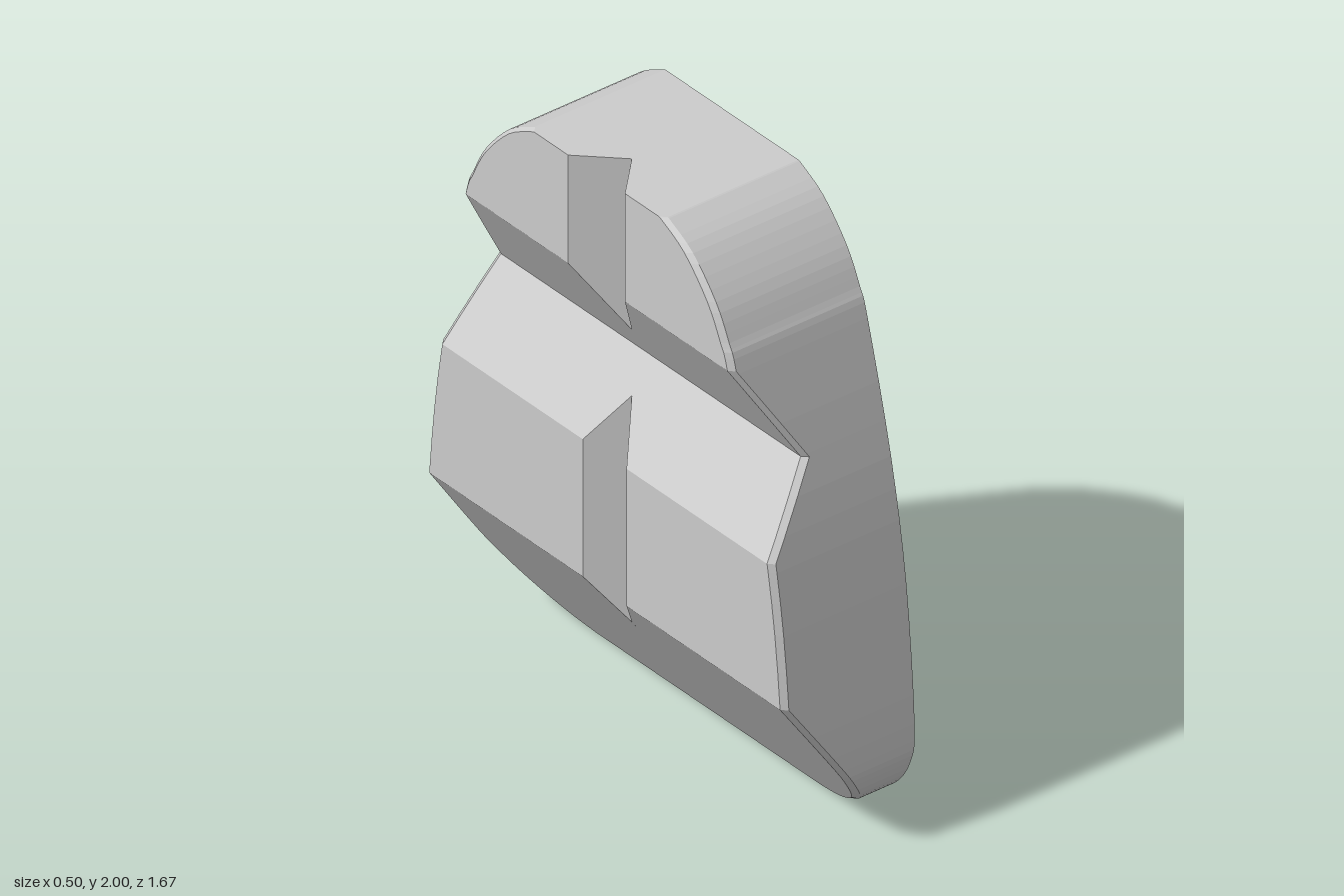
import * as THREE from 'three';

const BACK = 0.25;
// half-width of the plate (w, y), from bottom to top
const outline = new THREE.SplineCurve([
  [0.535, 0], [0.64, 0.025], [0.75, 0.095], [0.817, 0.2], [0.835, 0.34], [0.797, 0.8], [0.727, 1.2],
  [0.62, 1.62], [0.585, 1.71], [0.525, 1.82], [0.42, 1.935], [0.32, 1.993], [0.3, 2],
].map(([w, y]) => new THREE.Vector2(w, y))).getPoints(48);
// depth of the carved side (y, x): bottom slope, lower lobe, valley, upper lobe
const profile = [[0, 0.165], [0.56, -0.22], [1.03, -0.22], [1.3, -0.05], [1.63, -0.25], [2, -0.25]];
const GROOVE = -0.12;

function lerpTable(table, t) {
  let i = 1;
  while (i < table.length - 1 && table[i][0] < t) i++;
  const [t0, v0] = table[i - 1], [t1, v1] = table[i];
  return v0 + (v1 - v0) * THREE.MathUtils.clamp((t - t0) / (t1 - t0), 0, 1);
}
const widths = outline.map((p) => [p.y, p.x]);

// cross-section at height y as [x, z] pairs: wall, lobe with V groove, wall
function section(y) {
  const w = lerpTable(widths, y), p = lerpTable(profile, y);
  const g = Math.max(0, GROOVE - p), c = 0.018;
  return [[BACK, -w], [p + c, -w], [p, -w + c], [p, -g], [p + g, 0], [p, g], [p, w - c], [p + c, w], [BACK, w]];
}

function flat(geometry) {
  const g = geometry.index ? geometry.toNonIndexed() : geometry;
  g.computeVertexNormals();
  return g;
}

// carved front and side walls lofted through the cross-sections
function bodyGeometry() {
  const breaks = [0.415, 0.56, 1.03, 1.189, 1.3, 1.4155, 1.63];
  const ys = [...outline.map((p) => p.y), ...breaks].sort((a, b) => a - b);
  const rows = ys.map((y) => section(y).map(([x, z]) => [x, y, z]));
  const pos = [];
  for (let i = 0; i < rows.length - 1; i++) {
    for (let j = 0; j < rows[i].length - 1; j++) {
      const a = rows[i][j], b = rows[i][j + 1], c = rows[i + 1][j + 1], d = rows[i + 1][j];
      pos.push(...a, ...b, ...c, ...a, ...c, ...d);
    }
  }
  const g = new THREE.BufferGeometry();
  g.setAttribute('position', new THREE.Float32BufferAttribute(pos, 3));
  return flat(g);
}

function capGeometry(y, up) {
  const pts = section(y).map(([x, z]) => new THREE.Vector2(x, up ? -z : z));
  return flat(new THREE.ShapeGeometry(new THREE.Shape(pts)).rotateX(up ? -Math.PI / 2 : Math.PI / 2).translate(0, y, 0));
}

export function createModel() {
  const group = new THREE.Group();
  const grey = new THREE.MeshStandardMaterial({ color: 0xcccccc, side: THREE.DoubleSide });
  grey.name = 'light grey';
  const add = (name, geometry) => {
    const mesh = new THREE.Mesh(geometry, grey);
    mesh.name = name;
    group.add(mesh);
    return mesh;
  };

  add('carvedBody', bodyGeometry());
  add('topFace', capGeometry(2, true));
  add('bottomFace', capGeometry(0, false));

  // flat mounting face with three bolt holes
  const mirrored = outline.map((p) => new THREE.Vector2(-p.x, p.y)).reverse();
  const face = new THREE.Shape([...outline, ...mirrored]);
  const holes = [[0, 1.417], [0.23, 0.768], [-0.23, 0.768]];
  const R = 0.067, DEPTH = 0.2;
  for (const [z, y] of holes) {
    face.holes.push(new THREE.Path().absarc(-z, y, R, 0, Math.PI * 2, true));
    // blind hole: wall and floor
    const cup = [[0, 0], [R, 0], [R, DEPTH]].map(([r, h]) => new THREE.Vector2(r, h));
    const hole = add('boltHole', flat(new THREE.LatheGeometry(cup, 24).rotateZ(-Math.PI / 2)));
    hole.position.set(BACK - DEPTH, y, z);
  }
  add('mountingFace', flat(new THREE.ShapeGeometry(face, 12).rotateY(Math.PI / 2).translate(BACK, 0, 0)));
  return group;
}
